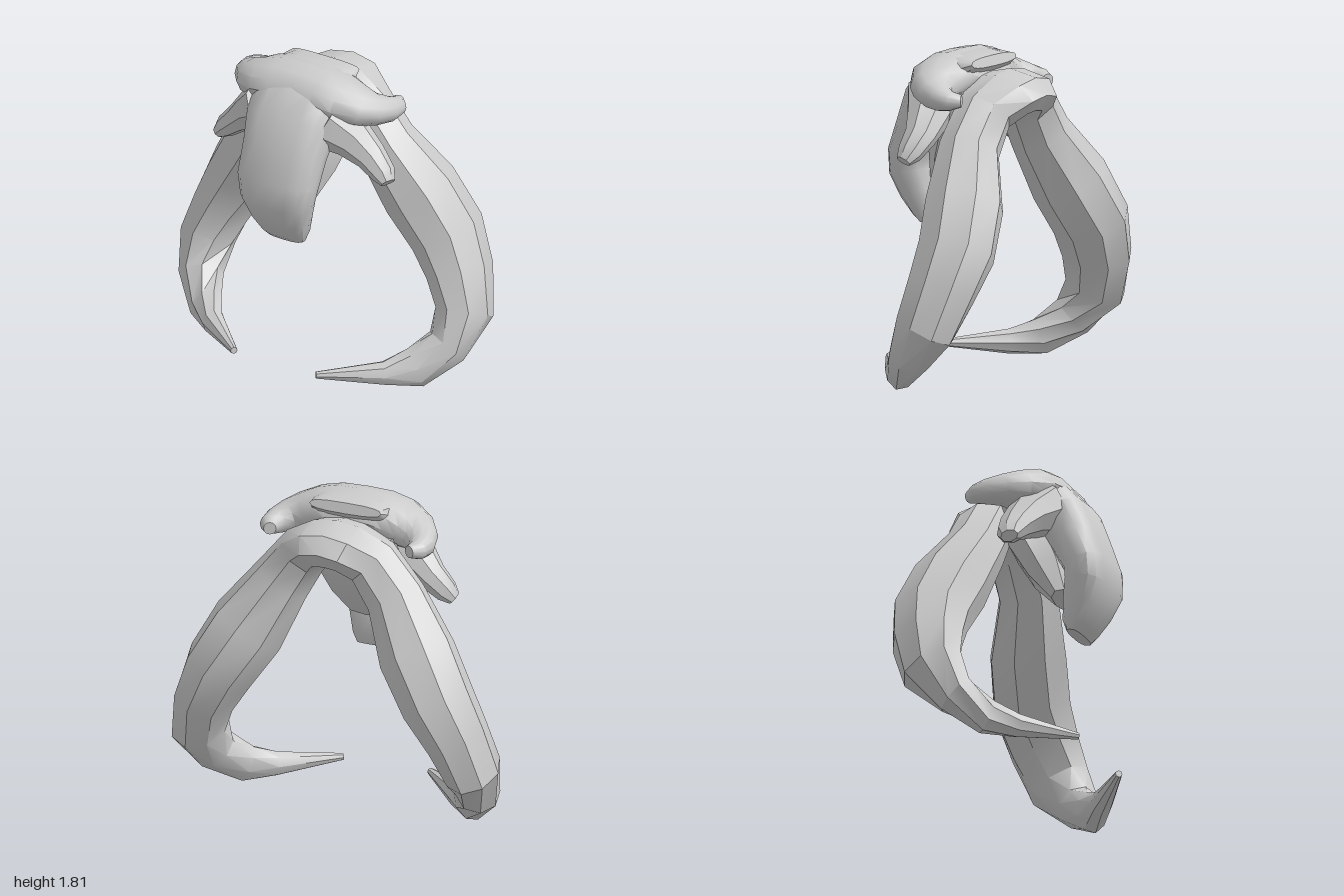
import * as THREE from 'three';
import { toCreasedNormals } from 'three/addons/utils/BufferGeometryUtils.js';

const material = new THREE.MeshStandardMaterial({ color: 0xcccccc });

// Lofts a closed skin over rings [x, y, z, a, b]: b is the half size along ref, a across it.
// power below 1 makes the cross-section boxier.
function loft(name, rings, ref, sides = 8, power = 1, crease = 0.5) {
  const centres = rings.map(r => new THREE.Vector3(r[0], r[1], r[2]));
  const last = rings.length - 1;
  const pos = [], index = [];
  const soft = n => Math.sign(n) * Math.pow(Math.abs(n), power);
  centres.forEach((c, i) => {
    const t = centres[Math.min(i + 1, last)].clone().sub(centres[Math.max(i - 1, 0)]).normalize();
    const u = ref.clone().addScaledVector(t, -ref.dot(t)).normalize();
    const v = t.clone().cross(u);
    for (let j = 0; j < sides; j++) {
      const ang = j / sides * Math.PI * 2;
      const p = c.clone()
        .addScaledVector(u, soft(Math.cos(ang)) * rings[i][4])
        .addScaledVector(v, soft(Math.sin(ang)) * rings[i][3]);
      pos.push(p.x, p.y, p.z);
    }
  });
  const at = (i, j) => i * sides + j % sides;
  for (let i = 0; i < last; i++)
    for (let j = 0; j < sides; j++)
      index.push(at(i, j), at(i, j + 1), at(i + 1, j + 1), at(i, j), at(i + 1, j + 1), at(i + 1, j));
  // End caps
  const start = pos.length / 3;
  pos.push(...centres[0].toArray(), ...centres[last].toArray());
  for (let j = 0; j < sides; j++) {
    index.push(at(0, j + 1), at(0, j), start);
    index.push(at(last, j), at(last, j + 1), start + 1);
  }
  const geo = new THREE.BufferGeometry();
  geo.setAttribute('position', new THREE.Float32BufferAttribute(pos, 3));
  geo.setIndex(index);
  const mesh = new THREE.Mesh(toCreasedNormals(geo, crease), material);
  mesh.name = name;
  return mesh;
}

// Repeats the rings of the left half on the right, around a middle ring
const bothSides = (middle, half) =>
  [...half.map(r => [-r[0], ...r.slice(1)]).reverse(), middle, ...half];

const X = new THREE.Vector3(1, 0, 0);
const Y = new THREE.Vector3(0, 1, 0);
const Z = new THREE.Vector3(0, 0, 1);

export function createModel() {
  const model = new THREE.Group();
  model.name = 'hornedHead';

  // Pair of large horns joined by a collar behind the head
  model.add(loft('hornsAndCollar', bothSides([0, 1.6, -0.2, 0.13, 0.245], [
    [0.09, 1.59, -0.20, 0.13, 0.235],
    [0.21, 1.51, -0.17, 0.15, 0.17],
    [0.35, 1.32, -0.165, 0.17, 0.175],
    [0.52, 1.04, -0.245, 0.22, 0.225],
    [0.67, 0.80, -0.29, 0.205, 0.23],
    [0.775, 0.60, -0.26, 0.175, 0.21],
    [0.845, 0.39, -0.20, 0.155, 0.185],
    [0.81, 0.22, -0.075, 0.125, 0.125],
    [0.69, 0.11, 0.06, 0.115, 0.085],
    [0.56, 0.09, 0.18, 0.07, 0.065],
    [0.27, 0.10, 0.42, 0.02, 0.02],
  ]), Z));

  // Crown and forehead running down into a blunt snout
  model.add(loft('headAndSnout', [
    [0, 1.765, -0.095, 0.03, 0.22],
    [0, 1.73, 0.01, 0.09, 0.25],
    [0, 1.66, 0.14, 0.15, 0.27],
    [0, 1.53, 0.25, 0.155, 0.265],
    [0, 1.38, 0.32, 0.14, 0.245],
    [0, 1.22, 0.39, 0.125, 0.24],
    [0, 1.12, 0.39, 0.125, 0.22],
    [0, 1.00, 0.35, 0.11, 0.18],
    [0, 0.89, 0.31, 0.075, 0.145],
    [0, 0.84, 0.30, 0.04, 0.12],
  ], X, 16, 0.72, 0.65));

  // Brow sweeping out to a backward-curled flap on each side
  model.add(loft('brow', bothSides([0, 1.70, 0.10, 0.18, 0.12], [
    [0.14, 1.69, 0.10, 0.19, 0.125],
    [0.24, 1.67, 0.10, 0.18, 0.12],
    [0.34, 1.64, 0.07, 0.14, 0.105],
    [0.41, 1.62, 0.02, 0.10, 0.085],
    [0.45, 1.605, -0.05, 0.075, 0.07],
    [0.455, 1.60, -0.11, 0.06, 0.055],
    [0.43, 1.60, -0.165, 0.035, 0.035],
  ]), Y, 12, 0.95, 0.7));

  // Neck and lower jaw tucked behind the snout
  model.add(loft('lowerJaw', [
    [0, 1.62, -0.04, 0.12, 0.28],
    [0, 1.42, 0.07, 0.15, 0.28],
    [0, 1.24, 0.15, 0.125, 0.22],
    [0, 1.08, 0.22, 0.06, 0.14],
  ], X, 8, 0.9));

  // Drooping cheek flaps
  for (const s of [1, -1])
    model.add(loft(s > 0 ? 'leftCheekFlap' : 'rightCheekFlap', [
      [s * 0.18, 1.56, 0.19, 0.17, 0.15],
      [s * 0.32, 1.47, 0.13, 0.12, 0.125],
      [s * 0.43, 1.375, 0.11, 0.085, 0.095],
      [s * 0.52, 1.295, 0.12, 0.065, 0.075],
      [s * 0.56, 1.255, 0.135, 0.035, 0.05],
    ], Z));
  return model;
}
